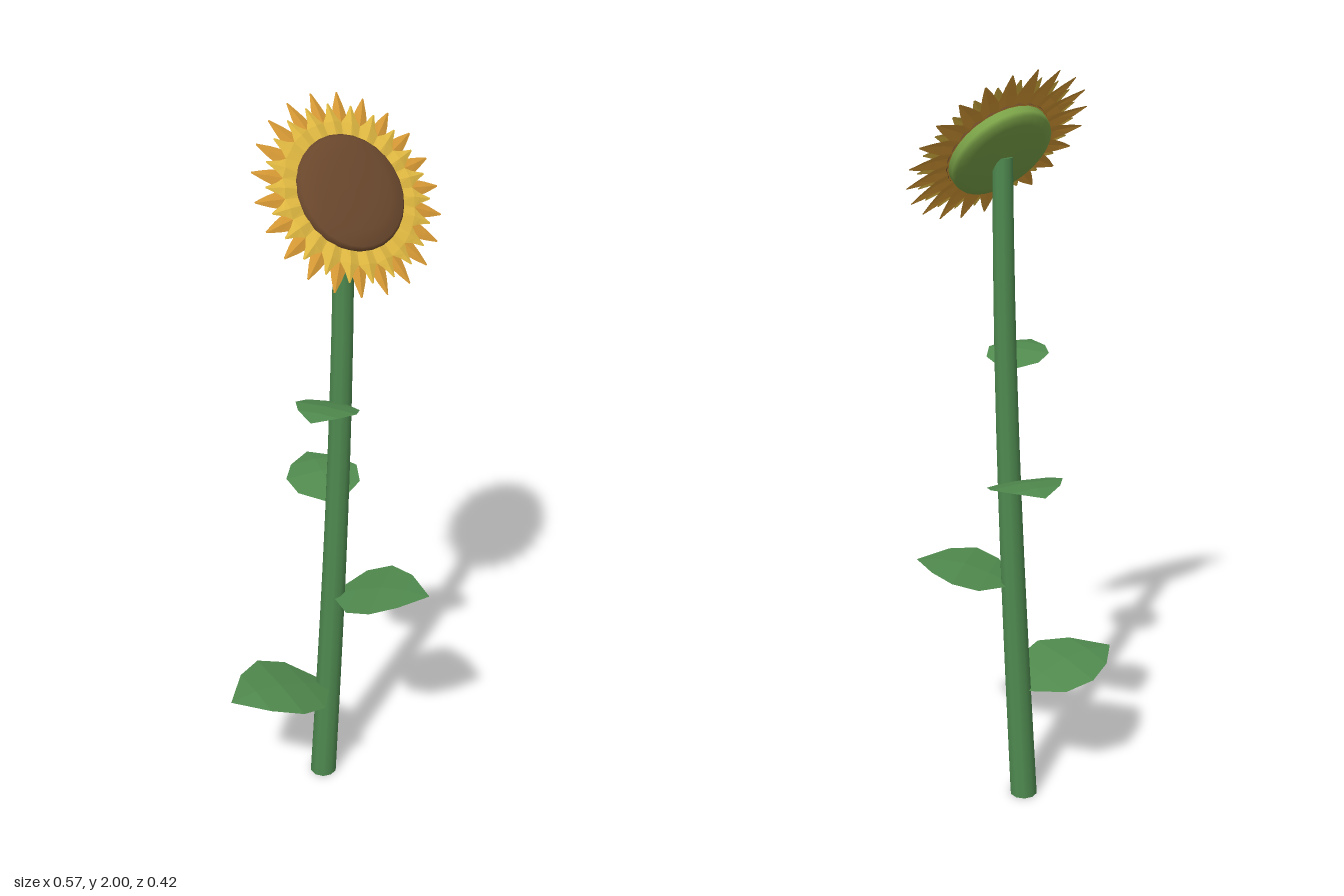
import * as THREE from 'three';
import { mergeGeometries } from 'three/addons/utils/BufferGeometryUtils.js';

const flat = (color, name, extra = {}) =>
  Object.assign(new THREE.MeshStandardMaterial({ color, ...extra }), { name });

// Centre of the gently bent stem at height y
function stemCentre(y) {
  const s = Math.sin((Math.min(y / 1.78, 1) * Math.PI) / 2);
  return new THREE.Vector3(0.01 + 0.022 * s, y, -0.035 + 0.056 * s);
}

function stemGeometry() {
  const g = new THREE.CylinderGeometry(0.026, 0.038, 1.78, 10, 10);
  g.translate(0, 0.89, 0);
  const p = g.attributes.position;
  for (let i = 0; i < p.count; i++) {
    const c = stemCentre(p.getY(i));
    p.setX(i, p.getX(i) + c.x);
    p.setZ(i, p.getZ(i) + c.z);
  }
  g.computeBoundingSphere();
  return g;
}

// Surface lofted from cross-sections, each a [left, middle, right] of points
function loft(sections) {
  const pos = [], index = [];
  sections.forEach(row => row.forEach(pt => pos.push(...pt)));
  for (let i = 0; i < sections.length - 1; i++) {
    for (let j = 0; j < 2; j++) {
      const a = i * 3 + j;
      index.push(a, a + 1, a + 4, a, a + 4, a + 3);
    }
  }
  const g = new THREE.BufferGeometry();
  g.setAttribute('position', new THREE.Float32BufferAttribute(pos, 3));
  g.setIndex(index);
  const out = g.toNonIndexed();
  out.computeVertexNormals();
  return out;
}

// Unit-length leaf growing along +z: [distance, half width, height]
function leafGeometry() {
  const profile = [[0, 0.03, 0], [0.25, 0.39, 0.1], [0.5, 0.45, 0.175], [0.75, 0.3, 0.195], [1, 0, 0.165]];
  return loft(profile.map(([z, w, y]) => [[-w, y - w * 0.05, z], [0, y, z], [w, y - w * 0.05, z]]).map(r => r.reverse()));
}

// Ring of ridged petals around z
function petalRing(count, tip, z, offset) {
  const profile = [[0.12, 0.019, 0.003], [0.175, 0.025, 0.006], [0.22 * tip / 0.255, 0.014, 0.004], [tip, 0.002, 0]];
  const petal = loft(profile.map(([r, w, h]) => [[-w, r, z], [0, r, z + h], [w, r, z]]).map(r => r.reverse()));
  const ring = [];
  for (let i = 0; i < count; i++) {
    ring.push(petal.clone().rotateZ(((i + offset) / count) * Math.PI * 2));
  }
  return mergeGeometries(ring);
}

function disc(profile) {
  return new THREE.LatheGeometry(profile.map(([r, y]) => new THREE.Vector2(r, y)), 28).rotateX(Math.PI / 2);
}

export function createModel() {
  const model = new THREE.Group();
  model.name = 'sunflower';
  const double = { side: THREE.DoubleSide };
  const stemGreen = flat(0x4f8a50, 'stem green');
  const leafGreen = flat(0x508a4e, 'leaf green', { ...double, flatShading: true });
  const yellow = flat(0xe2ba42, 'petal yellow', { ...double, flatShading: true });
  const orange = flat(0xd89a35, 'petal orange', { ...double, flatShading: true });
  const brown = flat(0x6b482d, 'seed brown');
  const sepalGreen = flat(0x7ba348, 'sepal green');

  const add = (parent, name, geometry, material) => {
    const mesh = new THREE.Mesh(geometry, material);
    mesh.name = name;
    parent.add(mesh);
    return mesh;
  };

  add(model, 'stem', stemGeometry(), stemGreen);

  // Leaves spiral up the stem: height, heading in degrees from +z, length
  const leafShape = leafGeometry();
  [[0.32, 263.5, 0.307], [0.635, 37, 0.27], [0.93, 165, 0.225], [1.235, 300, 0.185]].forEach(([y, heading, length], i) => {
    const leaf = add(model, `leaf${i + 1}`, leafShape, leafGreen);
    leaf.position.copy(stemCentre(y));
    leaf.rotation.y = THREE.MathUtils.degToRad(heading);
    leaf.scale.setScalar(length);
  });

  // Flower head, tipped back to face up and forward
  const head = new THREE.Group();
  head.name = 'flowerHead';
  head.position.set(0.03, 1.8, 0.0425);
  head.rotation.x = -0.651;
  model.add(head);

  add(head, 'outerPetals', petalRing(22, 0.254, 0, 0), orange);
  add(head, 'innerPetals', petalRing(22, 0.222, 0.006, 0.5), yellow);
  add(head, 'seedDisc', disc([[0.142, 0], [0.144, 0.012], [0.136, 0.021], [0.1, 0.029], [0.05, 0.033], [0, 0.034]]), brown);
  add(head, 'sepalCup', disc([[0, -0.043], [0.06, -0.041], [0.11, -0.037], [0.134, -0.03], [0.138, -0.018], [0.138, 0]]), sepalGreen);

  return model;
}
